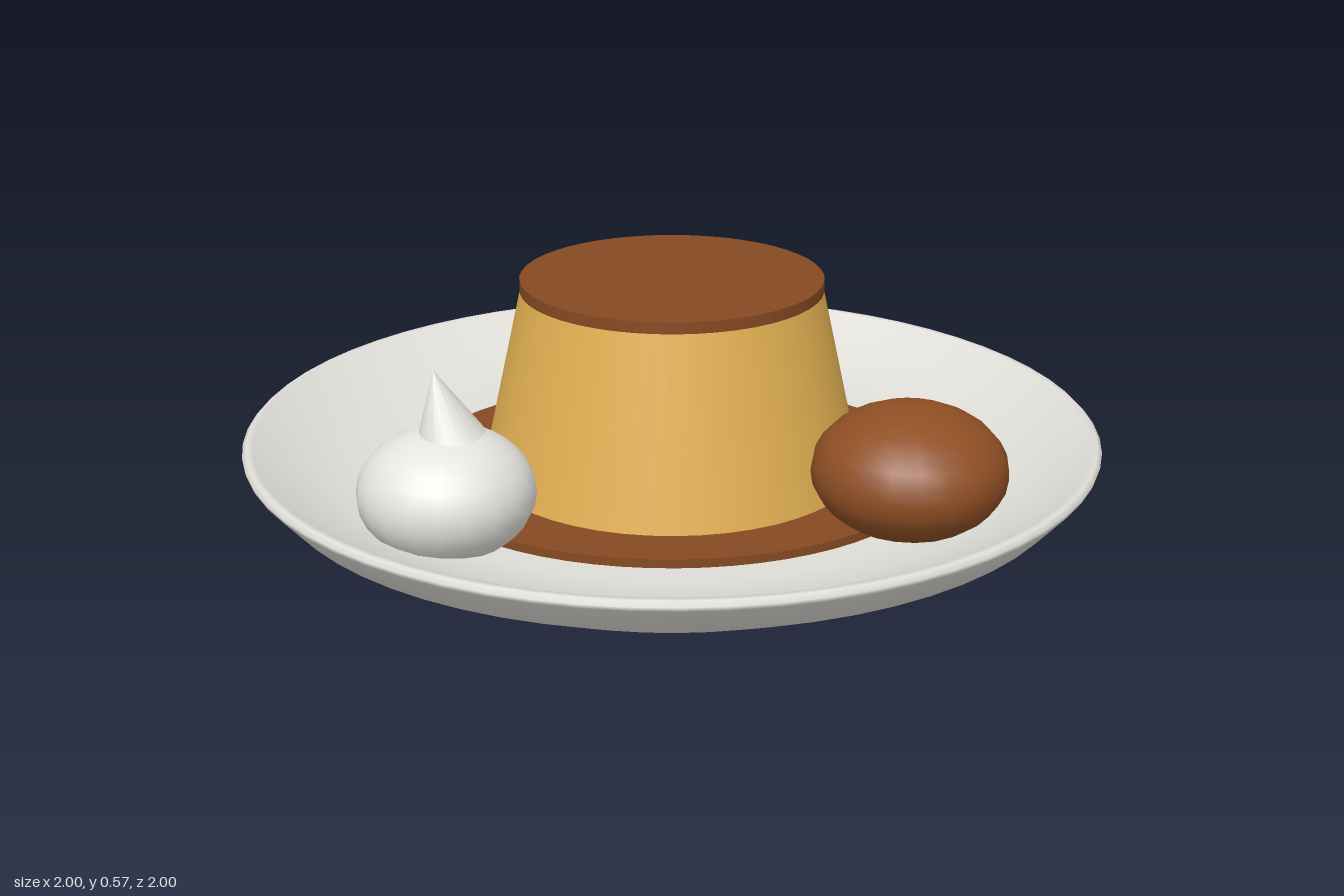
import * as THREE from 'three';

const material = (name, color) => {
  const m = new THREE.MeshStandardMaterial({ color });
  m.name = name;
  return m;
};

export function createModel() {
  const group = new THREE.Group();
  group.name = 'custardOnPlate';

  const porcelain = material('porcelain', 0xe0ded8);
  const cream = material('whippedCream', 0xe6e4de);
  const custardYellow = material('custardYellow', 0xe2b052);
  const caramel = material('caramel', 0x864a22);
  const chocolate = material('chocolate', 0x8f4f24);

  const add = (name, geometry, mat, x = 0, y = 0, z = 0, parent = group) => {
    const mesh = new THREE.Mesh(geometry, mat);
    mesh.name = name;
    mesh.position.set(x, y, z);
    parent.add(mesh);
    return mesh;
  };

  // Shallow dish: underside, rim, then the hollow back to the centre
  const profile = [
    [0, 0], [0.7, 0], [0.93, 0.115], [0.997, 0.19], [1, 0.2], [0.99, 0.21],
    [0.975, 0.21], [0.9, 0.16], [0.78, 0.115], [0.64, 0.09], [0, 0.085],
  ].map(([r, y]) => new THREE.Vector2(r, y));
  add('plate', new THREE.LatheGeometry(profile, 64), porcelain);

  // Oval pool of sauce
  const sauce = add('saucePool', new THREE.CylinderGeometry(0.62, 0.62, 0.03, 64), caramel, 0, 0.095, 0);
  sauce.scale.z = 0.92;

  // Tapered custard with its caramel cap
  add('custard', new THREE.CylinderGeometry(0.35, 0.45, 0.455, 48), custardYellow, 0, 0.3175, 0);
  add('caramelTop', new THREE.CylinderGeometry(0.352, 0.352, 0.027, 48), caramel, 0, 0.5565, 0);

  // Flattened chocolate ball
  const ball = add('chocolateBall', new THREE.SphereGeometry(0.22, 20, 14), chocolate, 0.52, 0.225, 0.35);
  ball.scale.y = 0.68;

  // Cream dollop with a leaning peak
  const dollop = new THREE.Group();
  dollop.name = 'creamDollop';
  dollop.position.set(-0.5, 0.2, 0.4);
  group.add(dollop);
  const base = add('creamBase', new THREE.SphereGeometry(0.198, 20, 14), cream, 0, 0, 0, dollop);
  base.scale.y = 0.74;
  const peak = add('creamPeak', new THREE.ConeGeometry(0.078, 0.16, 16), cream, -0.003, 0.203, 0, dollop);
  peak.rotation.z = 0.21;

  return group;
}
